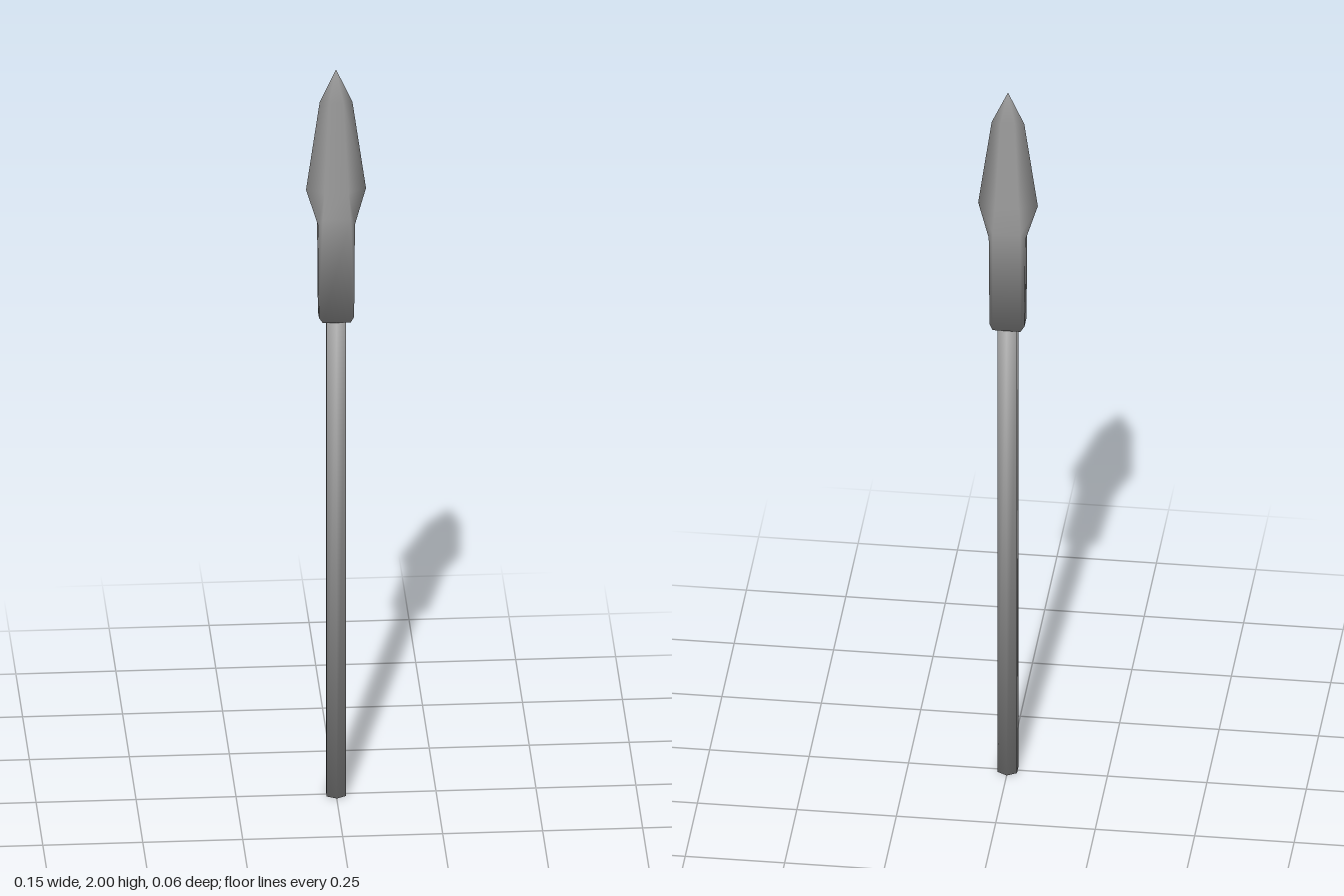
import * as THREE from 'three';
import { mergeVertices } from 'three/addons/utils/BufferGeometryUtils.js';

const steel = () => new THREE.MeshStandardMaterial({ color: 0x999999 });

// Weld all corners and give each one a normal weighted by its face angles,
// so the shading rolls softly over the ends and blade edges.
function smooth(source) {
  source.deleteAttribute('normal');
  source.deleteAttribute('uv');
  const geo = mergeVertices(source);
  const pos = geo.attributes.position;
  const idx = geo.index.array;
  const points = Array.from({ length: pos.count }, (_, i) => new THREE.Vector3().fromBufferAttribute(pos, i));
  const normals = points.map(() => new THREE.Vector3());
  for (let t = 0; t < idx.length; t += 3) {
    const tri = [idx[t], idx[t + 1], idx[t + 2]];
    const face = new THREE.Triangle(...tri.map((i) => points[i]));
    if (face.getArea() < 1e-8) continue;
    const n = face.getNormal(new THREE.Vector3());
    tri.forEach((v, k) => {
      const e1 = points[tri[(k + 1) % 3]].clone().sub(points[v]);
      const e2 = points[tri[(k + 2) % 3]].clone().sub(points[v]);
      normals[v].addScaledVector(n, e1.angleTo(e2));
    });
  }
  const flat = normals.flatMap((n) => n.normalize().toArray());
  geo.setAttribute('normal', new THREE.Float32BufferAttribute(flat, 3));
  return geo;
}

// Eight-sided cross-section: flat face corners (a, zc) and side edges (b, zs).
// The side edges may sit slightly above or below the corners (dy).
function section({ y, a, zc, b, zs, dy = 0 }) {
  return [
    [a, y, zc], [b, y + dy, zs], [b, y + dy, -zs], [a, y, -zc],
    [-a, y, -zc], [-b, y + dy, -zs], [-b, y + dy, zs], [-a, y, zc],
  ];
}

// Skin the sections and close the underside
function loft(sections) {
  const n = 8;
  const index = [];
  for (let s = 0; s < sections.length - 1; s++) {
    for (let i = 0; i < n; i++) {
      const j = (i + 1) % n;
      const li = s * n + i, lj = s * n + j, ui = li + n, uj = lj + n;
      // mirror the diagonals from left to right
      if (i < 4) index.push(li, lj, ui, lj, uj, ui);
      else index.push(li, lj, uj, li, uj, ui);
    }
  }
  for (let i = 1; i < n - 1; i++) index.push(0, i + 1, i);
  const geo = new THREE.BufferGeometry();
  geo.setAttribute('position', new THREE.Float32BufferAttribute(sections.flatMap(section).flat(), 3));
  geo.setIndex(index);
  return geo;
}

export function createModel() {
  const group = new THREE.Group();
  group.name = 'spear';
  const add = (name, geo) => {
    const mesh = new THREE.Mesh(smooth(geo), steel());
    mesh.name = name;
    group.add(mesh);
    return mesh;
  };

  // Six-sided shaft running up into the socket
  add('shaft', new THREE.CylinderGeometry(0.028, 0.028, 1.33, 6)).position.y = 0.665;

  // Socket flowing into the flat, pointed blade
  add('spearhead', loft([
    { y: 1.315, a: 0.035, zc: 0.031, b: 0.044, zs: 0.02, dy: 0.01 },
    { y: 1.6, a: 0.035, zc: 0.031, b: 0.046, zs: 0.02, dy: -0.02 },
    { y: 1.67, a: 0.03, zc: 0.022, b: 0.075, zs: 0 },
    { y: 1.91, a: 0.018, zc: 0.007, b: 0.041, zs: 0 },
    { y: 2, a: 0, zc: 0, b: 0, zs: 0 },
  ]));

  return group;
}
